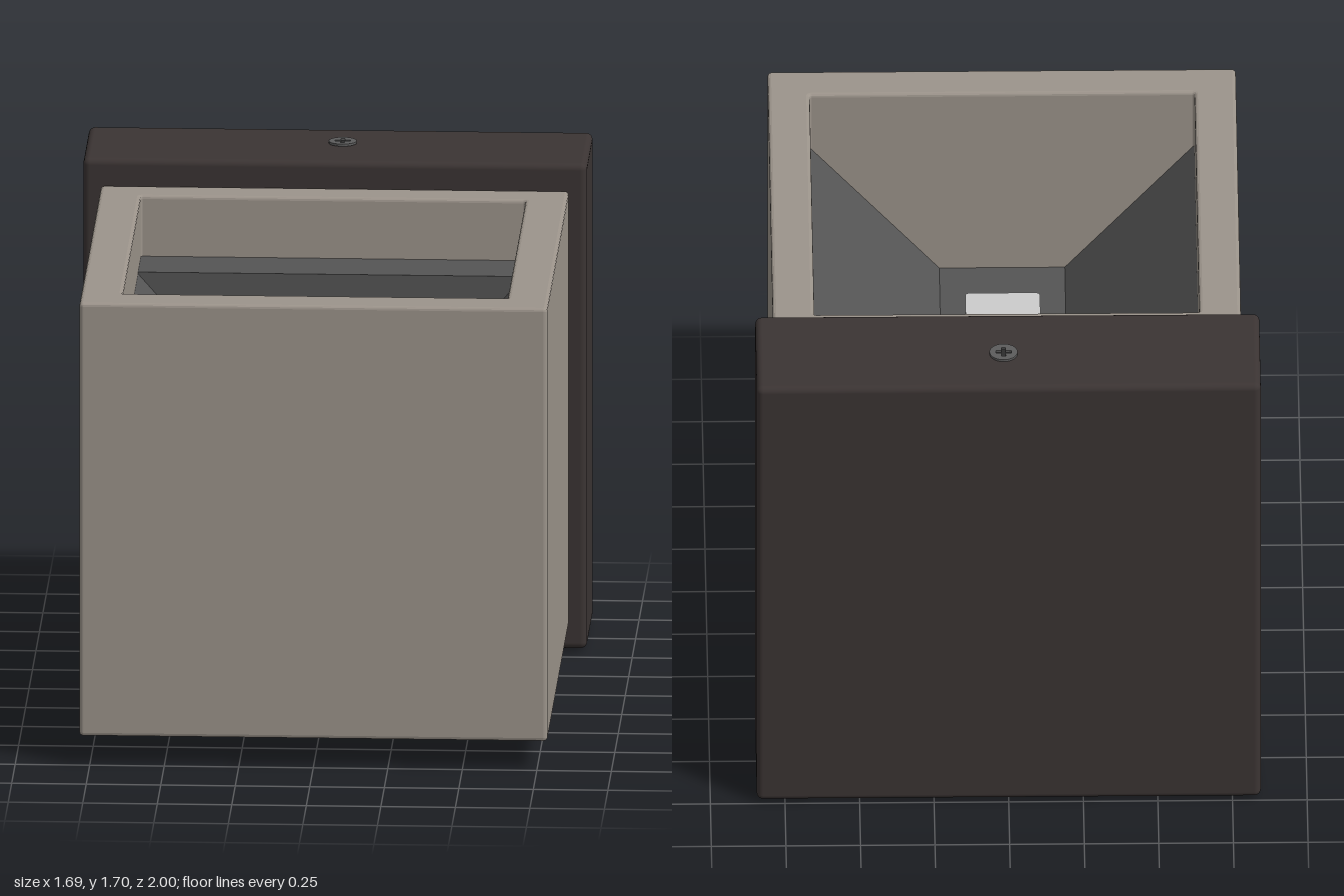
import * as THREE from 'three';
import { RoundedBoxGeometry } from 'three/addons/geometries/RoundedBoxGeometry.js';

const mat = (name, color, side = THREE.FrontSide) => {
  const m = new THREE.MeshStandardMaterial({ color, side });
  m.name = name;
  return m;
};

// Rounded rectangle outline, centred on (0, cy)
function roundedRect(Type, w, h, r, cy = 0) {
  const s = new Type(), x = w / 2 - r, y = h / 2 - r;
  s.absarc(x, cy + y, r, 0, Math.PI / 2);
  s.absarc(-x, cy + y, r, Math.PI / 2, Math.PI);
  s.absarc(-x, cy - y, r, Math.PI, Math.PI * 1.5);
  s.absarc(x, cy - y, r, Math.PI * 1.5, Math.PI * 2);
  s.closePath();
  return s;
}

export function createModel() {
  const taupe = mat('taupe housing', 0x9c948b);
  const brown = mat('dark brown mount', 0x3b3433);
  const grey = mat('grey reflector', 0x555555);
  const steel = mat('screw steel', 0x5c5c5c);
  const dark = mat('screw recess', 0x2c2c2c);
  const white = mat('light panel', 0xcccccc);

  const model = new THREE.Group();
  const add = (parent, name, geo, material, x = 0, y = 0, z = 0) => {
    const m = new THREE.Mesh(geo, material);
    m.name = name;
    m.position.set(x, y, z);
    parent.add(m);
    return m;
  };

  // Wall mount
  add(model, 'wallMount', new RoundedBoxGeometry(1.69, 1.68, 0.435, 4, 0.022), brown, 0, 0.85, -0.7825);

  // Square tube housing, open above and below
  const bevel = 0.012;
  const outline = roundedRect(THREE.Shape, 1.57, 1.56, 0.015);
  outline.holes.push(roundedRect(THREE.Path, 1.29, 1.29, 0.008, 0.005));
  const tube = new THREE.ExtrudeGeometry(outline, {
    depth: 1.5 - 2 * bevel, bevelThickness: bevel, bevelSize: bevel,
    bevelOffset: -bevel, bevelSegments: 3, curveSegments: 4,
  });
  tube.rotateX(-Math.PI / 2);
  add(model, 'housing', tube, taupe, 0, 0.1 + bevel, 0.22);

  // Reflector: slopes from the side walls to a flat centre, same above and below
  const profile = new THREE.Shape([
    [-0.65, 0.54], [-0.65, -0.54], [-0.21, -0.04], [0.21, -0.04],
    [0.65, -0.54], [0.65, 0.54], [0.21, 0.04], [-0.21, 0.04],
  ].map(([x, y]) => new THREE.Vector2(x, y)));
  add(model, 'reflector', new THREE.ExtrudeGeometry(profile, { depth: 1.085, bevelEnabled: false }),
    grey, 0, 0.85, -0.22);
  add(model, 'driverBox', new THREE.BoxGeometry(1.3, 1.08, 0.215), grey, 0, 0.85, -0.3275);

  // Screw head with a cross-shaped recess
  const head = new THREE.Shape().absarc(0, 0, 0.047, 0, Math.PI * 2);
  const a = 0.007, b = 0.026;
  head.holes.push(new THREE.Path([
    [a, a], [a, b], [-a, b], [-a, a], [-b, a], [-b, -a],
    [-a, -a], [-a, -b], [a, -b], [a, -a], [b, -a], [b, a],
  ].map(([x, y]) => new THREE.Vector2(x, y))));
  const headGeo = new THREE.ExtrudeGeometry(head, { depth: 0.008, bevelEnabled: false, curveSegments: 16 });
  headGeo.rotateX(-Math.PI / 2);

  // Light panel and screw, repeated for the upper and lower sides
  const panelGeo = new THREE.ExtrudeGeometry(roundedRect(THREE.Shape, 0.25, 0.76, 0.015),
    { depth: 0.008, bevelEnabled: false, curveSegments: 4 });
  panelGeo.rotateX(-Math.PI / 2);
  for (const end of ['upper', 'lower']) {
    const side = new THREE.Group();
    side.name = end + 'Fittings';
    side.position.y = 0.85;
    if (end === 'lower') side.rotation.z = Math.PI;
    add(side, 'lightPanel', panelGeo, white, 0, 0.04, 0.32);
    const screwX = end === 'upper' ? 0.015 : -0.015;
    add(side, 'screwHead', headGeo, steel, screwX, 0.842, -0.805);
    add(side, 'screwRecess', new THREE.CylinderGeometry(0.03, 0.03, 0.004, 20), dark, screwX, 0.841, -0.805);
    model.add(side);
  }
  return model;
}
